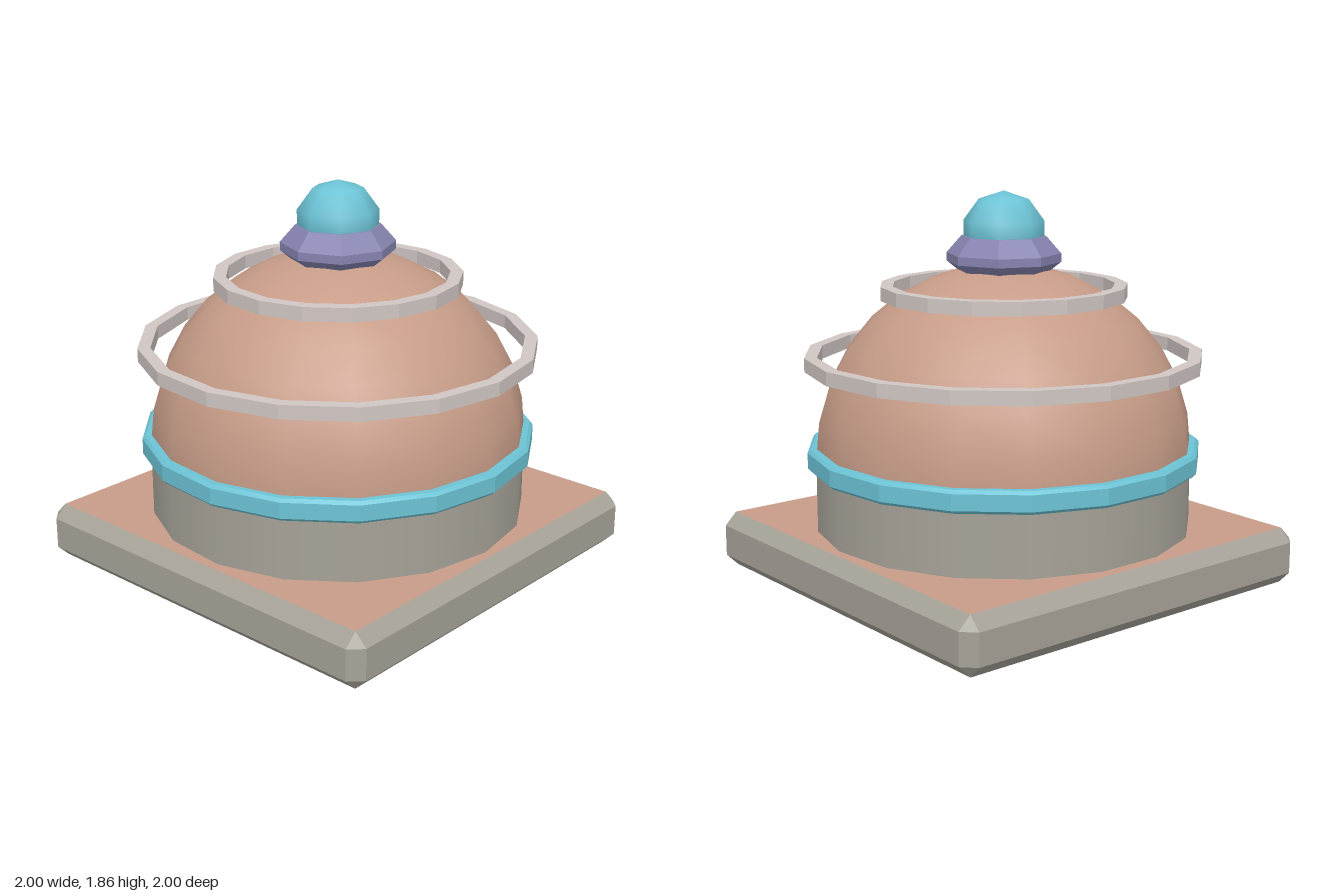
import * as THREE from 'three';
import { toCreasedNormals } from 'three/addons/utils/BufferGeometryUtils.js';
import { ConvexGeometry } from 'three/addons/geometries/ConvexGeometry.js';

const SIDES = 17;

function makeMaterial(name, color) {
  const material = new THREE.MeshStandardMaterial({ color });
  material.name = name;
  return material;
}

// Faceted solid of revolution with a corner on +x
function turned(profile, sides) {
  const points = profile.map(([r, y]) => new THREE.Vector2(r, y));
  return toCreasedNormals(new THREE.LatheGeometry(points, sides, Math.PI / 2), 0.3);
}

// Closed ring with optional chamfer on its outer edges
function ring(inner, outer, bottom, top, c = 0) {
  const side = c
    ? [[outer - c, bottom], [outer, bottom + c], [outer, top - c], [outer - c, top]]
    : [[outer, bottom], [outer, top]];
  return turned([[inner, bottom], ...side, [inner, top], [inner, bottom]], SIDES);
}

// Box chamfered on all edges; its flat top and bottom use the second material
function chamferedSlab(half, height, c) {
  const points = [];
  for (const sx of [-1, 1]) for (const sz of [-1, 1]) for (const sy of [-1, 1]) {
    const h = height / 2;
    points.push(
      new THREE.Vector3(sx * half, sy * (h - c), sz * (half - c)),
      new THREE.Vector3(sx * (half - c), sy * h, sz * (half - c)),
      new THREE.Vector3(sx * (half - c), sy * (h - c), sz * half));
  }
  const geometry = new ConvexGeometry(points);
  const normals = geometry.attributes.normal;
  for (let i = 0; i < normals.count; i += 3) {
    geometry.addGroup(i, 3, Math.abs(normals.getY(i)) > 0.95 ? 1 : 0);
  }
  return geometry.translate(0, height / 2, 0);
}

export function createModel() {
  const model = new THREE.Group();
  model.name = 'domedMonument';
  const stone = makeMaterial('stone grey', 0xa6a298);
  const clay = makeMaterial('clay', 0xc79c88);
  const pale = makeMaterial('pale stone', 0xd0c6c3);
  const teal = makeMaterial('teal', 0x6cc3d5);
  const violet = makeMaterial('violet', 0x8684b0);

  const add = (name, geometry, material) => {
    const mesh = new THREE.Mesh(geometry, material);
    mesh.name = name;
    model.add(mesh);
    return mesh;
  };

  // Base and drum
  add('basePlinth', chamferedSlab(1, 0.27, 0.06), [stone, clay]);
  const drum = new THREE.CylinderGeometry(0.9, 0.9, 0.35, SIDES);
  add('drum', drum.rotateY(Math.PI / 2).translate(0, 0.445, 0), stone);

  // Dome with the band around its foot
  const dome = new THREE.SphereGeometry(0.9, SIDES, 8, 0, Math.PI * 2, 0, Math.PI / 2);
  add('dome', dome.rotateY(Math.PI).translate(0, 0.62, 0), clay);
  add('domeBand', ring(0.85, 0.94, 0.565, 0.67, 0.015), teal);

  // Loose rings around the dome
  add('lowerRing', ring(0.885, 0.945, 1.04, 1.105), pale);
  add('upperRing', ring(0.525, 0.585, 1.36, 1.425), pale);

  // Finial
  add('finialCollar', turned(
    [[0, 1.49], [0.22, 1.49], [0.27, 1.53], [0.27, 1.57], [0.2, 1.65], [0, 1.65]], 8), violet);
  add('finialKnob', new THREE.SphereGeometry(0.2, 8, 5).translate(0, 1.66, 0), teal);

  return model;
}
